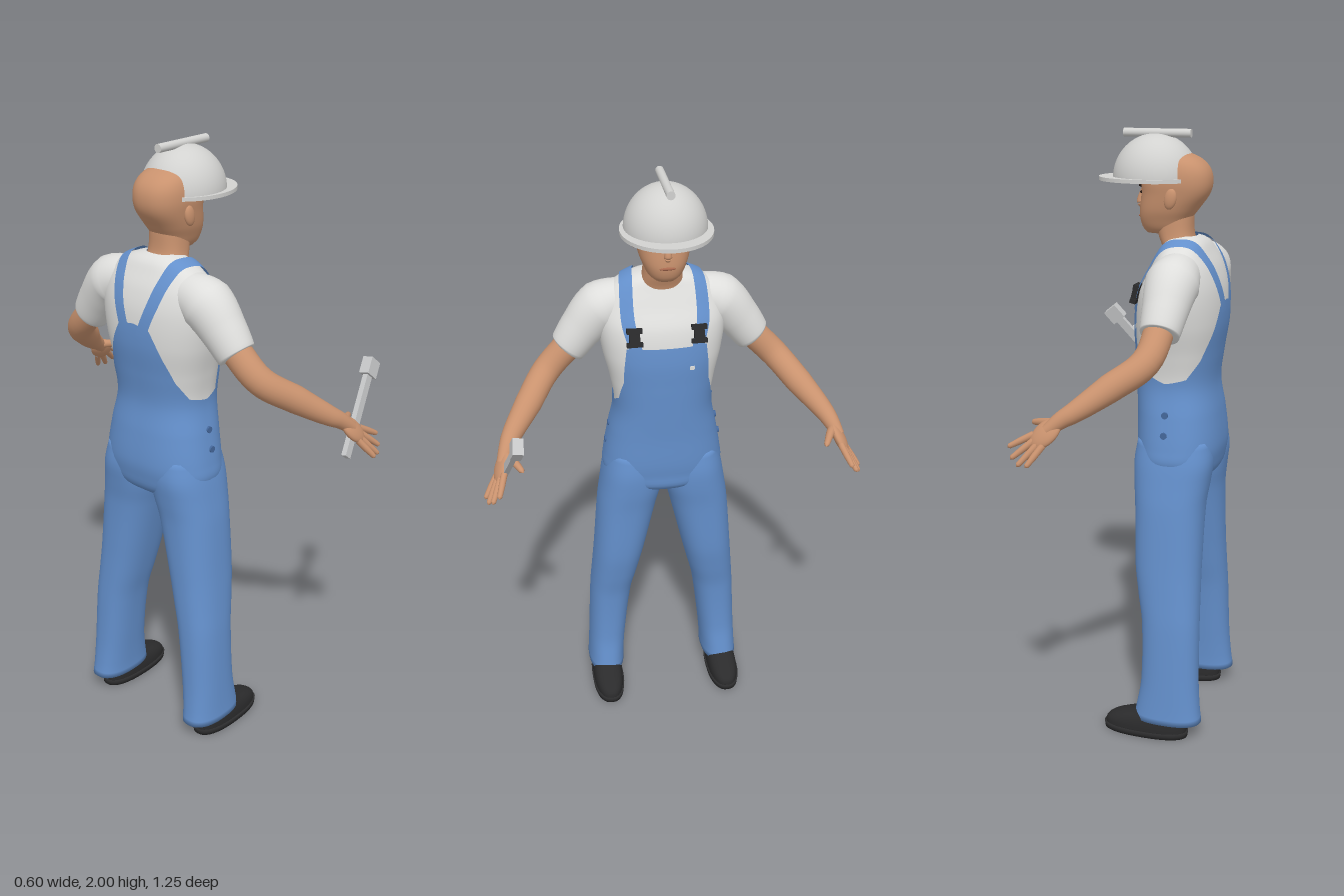
import * as THREE from 'three';
import { mergeVertices } from 'three/addons/utils/BufferGeometryUtils.js';

const V = (x, y, z) => new THREE.Vector3(x, y, z);
const mat = (name, color, side = THREE.FrontSide) => {
  const m = new THREE.MeshStandardMaterial({ color, side });
  m.name = name;
  return m;
};

// Closed surface from a rule: u runs around, v runs along
function grid(nu, nv, fn) {
  const pos = [], idx = [];
  for (let j = 0; j <= nv; j++)
    for (let i = 0; i <= nu; i++) pos.push(...fn((i % nu) / nu, j / nv).toArray());
  for (let j = 0; j < nv; j++)
    for (let i = 0; i < nu; i++) {
      const a = j * (nu + 1) + i, b = a + 1, c = a + nu + 1, d = c + 1;
      idx.push(a, c, b, b, c, d);
    }
  let g = new THREE.BufferGeometry();
  g.setAttribute('position', new THREE.Float32BufferAttribute(pos, 3));
  g.setIndex(idx);
  g = mergeVertices(g, 1e-6);
  g.computeVertexNormals();
  return g;
}

// Smooth interpolation of rows [y, back, front, zMin, zMax] by height
const profile = rows => y => {
  let i = 0;
  while (i < rows.length - 2 && y > rows[i + 1][0]) i++;
  const p = rows[Math.max(i - 1, 0)], a = rows[i], b = rows[i + 1], q = rows[Math.min(i + 2, rows.length - 1)];
  const h = b[0] - a[0], t = Math.min(1, Math.max(0, (y - a[0]) / h)), t2 = t * t, t3 = t2 * t;
  const s = [1, 2, 3, 4].map(k => {
    const m0 = (b[k] - p[k]) / (b[0] - p[0]) * h, m1 = (q[k] - a[k]) / (q[0] - a[0]) * h;
    return (2 * t3 - 3 * t2 + 1) * a[k] + (t3 - 2 * t2 + t) * m0 + (3 * t2 - 2 * t3) * b[k] + (t3 - t2) * m1;
  });
  return { y, cx: (s[0] + s[1]) / 2, rx: (s[1] - s[0]) / 2, cz: (s[2] + s[3]) / 2, rz: (s[3] - s[2]) / 2 };
};
const POW = 2.4;
const pw = (v, e) => Math.sign(v) * Math.abs(v) ** e;
const onRing = (s, a, off = 0) => V(
  s.cx + (s.rx + off) * pw(Math.cos(a), 2 / POW), s.y, s.cz + (s.rz + off) * pw(Math.sin(a), 2 / POW));
const frontX = (s, z) => s.cx + s.rx * Math.max(0, 1 - Math.abs((z - s.cz) / s.rz) ** POW) ** (1 / POW);

// Horizontal cross-sections stacked upward, capped at both ends
function loft(rows, nu = 40, nv = 40) {
  const at = profile(rows), y0 = rows[0][0], y1 = rows[rows.length - 1][0];
  return grid(nu, nv + 2, (u, v) => {
    const k = Math.round(v * (nv + 2)), s = at(y0 + (y1 - y0) * Math.min(1, Math.max(0, (k - 1) / nv)));
    return k === 0 || k === nv + 2 ? V(s.cx, s.y, s.cz) : onRing(s, u * Math.PI * 2);
  });
}

// Round limb through points [x, y, z, radius]
function limb(pts, nu = 20, per = 6) {
  const curve = new THREE.CatmullRomCurve3(pts.map(p => V(p[0], p[1], p[2])));
  const n = pts.length - 1, ref = V(0.3, 1, 0);
  return grid(nu, n * per, (u, v) => {
    const f = Math.min(v * n, n - 1e-6), i = Math.floor(f), r = THREE.MathUtils.lerp(pts[i][3], pts[i + 1][3], f - i);
    const T = curve.getTangent(v), N = ref.clone().cross(T).normalize(), B = T.clone().cross(N), a = -u * Math.PI * 2;
    return curve.getPoint(v).addScaledVector(N, r * Math.cos(a)).addScaledVector(B, r * Math.sin(a));
  });
}

const sym = (y, back, front, z) => [y, back, front, -z, z];
const torso = profile([
  sym(0.865, -0.22, -0.08, 0.07), sym(0.9, -0.265, -0.03, 0.17), sym(0.95, -0.28, -0.022, 0.2),
  sym(1.0, -0.285, -0.017, 0.197), sym(1.1, -0.275, -0.015, 0.18), sym(1.2, -0.26, -0.01, 0.162),
  sym(1.3, -0.27, -0.006, 0.175), sym(1.4, -0.283, -0.005, 0.198), sym(1.5, -0.28, -0.02, 0.21),
  sym(1.57, -0.262, -0.055, 0.2), sym(1.62, -0.237, -0.08, 0.165), sym(1.655, -0.215, -0.098, 0.105),
  sym(1.67, -0.19, -0.12, 0.05)]);

// Height of the overalls' upper edge by angle from the front
const EDGE = [[0, 1.45], [34, 1.45], [37, 1.41], [46, 1.32], [62, 1.25], [90, 1.215], [116, 1.23], [136, 1.29], [152, 1.37], [167, 1.46], [181, 1.47]];
function edgeHeight(a) {
  let d = THREE.MathUtils.radToDeg(a);
  if (d > 180) d = 360 - d;
  const i = EDGE.findIndex(e => e[0] > d), [p, q] = [EDGE[i - 1], EDGE[i]];
  return p[1] + (q[1] - p[1]) * (d - p[0]) / (q[0] - p[0]);
}

// Point just above the shirt, seen from inside the chest at angle t from vertical
function overShirt(t, z, off) {
  const dx = Math.sin(t), dy = Math.cos(t);
  let lo = 0, hi = 0.4;
  for (let i = 0; i < 30; i++) {
    const r = (lo + hi) / 2, y = 1.43 + dy * r, s = torso(y);
    const inside = y < 1.67 && Math.abs((-0.15 + dx * r - s.cx) / s.rx) ** POW + Math.abs(z / s.rz) ** POW < 1;
    if (inside) lo = r; else hi = r;
  }
  return V(-0.15 + dx * (lo + off), 1.43 + dy * (lo + off), z);
}

export function createModel() {
  const root = new THREE.Group();
  root.name = 'worker';
  const blue = mat('denimBlue', 0x6490cc, THREE.DoubleSide), white = mat('shirtWhite', 0xdededc);
  const skin = mat('skin', 0xc9926e), shell = mat('helmetGrey', 0xd2d2d0), black = mat('shoeBlack', 0x2b2b2c);
  const dark = mat('browBrown', 0x2c1e18), lip = mat('lip', 0xa9694f), steel = mat('toolGrey', 0xc6c7c8);
  const stud = mat('studBlue', 0x45689c);
  const add = (name, geo, m, parent = root) => {
    const mesh = new THREE.Mesh(geo, m);
    mesh.name = name;
    parent.add(mesh);
    return mesh;
  };
  const ball = (name, m, c, s) => {
    const b = add(name, new THREE.SphereGeometry(1, 24, 16), m);
    b.position.set(...c);
    b.scale.set(...s);
    return b;
  };

  // Shirt and overalls body
  add('shirt', grid(64, 50, (u, v) => onRing(torso(1.17 + 0.5 * v), u * Math.PI * 2)), white);
  add('overallsBody', grid(180, 50, (u, v) => {
    const a = u * Math.PI * 2, s = torso(0.865 + (edgeHeight(a) - 0.865) * Math.max(0, v - 0.02) / 0.98);
    return v === 0 ? V(s.cx, s.y, 0) : onRing(s, a, 0.006);
  }), blue);

  // Head and neck
  const headRows = [sym(1.675, -0.15, -0.025, 0.04), sym(1.69, -0.157, -0.012, 0.055), sym(1.72, -0.168, -0.003, 0.069),
    sym(1.75, -0.19, -0.003, 0.08), sym(1.8, -0.226, -0.008, 0.089), sym(1.84, -0.235, -0.008, 0.093),
    sym(1.88, -0.225, -0.02, 0.088), sym(1.91, -0.195, -0.04, 0.072), sym(1.93, -0.15, -0.07, 0.04)];
  const head = profile(headRows);
  add('head', loft(headRows), skin);
  add('neck', loft([sym(1.57, -0.2, -0.09, 0.07), sym(1.63, -0.195, -0.08, 0.072), sym(1.67, -0.178, -0.065, 0.064), sym(1.74, -0.175, -0.05, 0.06)], 32, 16), skin);
  add('nose', limb([[-0.012, 1.825, 0, 0.004], [-0.002, 1.79, 0, 0.01], [0.001, 1.768, 0, 0.013], [-0.008, 1.753, 0, 0.007]], 14), skin);
  ball('mouth', lip, [frontX(head(1.728), 0), 1.728, 0], [0.004, 0.005, 0.026]);
  for (const s of [-1, 1]) {
    ball('ear', skin, [-0.125, 1.79, s * 0.09], [0.02, 0.033, 0.012]).rotation.z = 0.2;
    ball('eye', dark, [frontX(head(1.805), 0.036) - 0.001, 1.805, s * 0.036], [0.004, 0.005, 0.012]);
    ball('eyebrow', dark, [frontX(head(1.824), 0.038), 1.824, s * 0.038], [0.005, 0.004, 0.02]).rotation.x = -s * 0.2;
  }

  // Hard hat: dome, brim and top ridge
  const dome = add('helmetDome', new THREE.SphereGeometry(1, 48, 20, 0, Math.PI * 2, 0, Math.PI / 2), shell);
  dome.position.set(-0.05, 1.845, 0);
  dome.scale.set(0.138, 0.14, 0.131);
  const brim = add('helmetBrim', new THREE.CylinderGeometry(1, 1, 0.012, 56), shell);
  brim.position.set(-0.03, 1.845, 0);
  brim.scale.set(0.165, 1, 0.145);
  const ridge = add('helmetRidge', new THREE.CylinderGeometry(0.0135, 0.0135, 0.222, 20), shell);
  ridge.rotation.z = Math.PI / 2;
  ridge.position.set(-0.055, 1.986, 0);

  for (const s of [-1, 1]) {
    const side = pts => pts.map(([x, y, z, r]) => [x, y, z * s, r]);
    const flip = rows => rows.map(([y, b, f, z0, z1]) => s > 0 ? [y, b, f, z0, z1] : [y, b, f, -z1, -z0]);

    // Trouser leg and shoe
    add('trouserLeg', loft(flip([[0.06, -0.284, -0.052, 0.153, 0.284], [0.1, -0.278, -0.06, 0.152, 0.281],
      [0.2, -0.27, -0.075, 0.143, 0.276], [0.4, -0.265, -0.072, 0.118, 0.266], [0.5, -0.262, -0.055, 0.094, 0.257],
      [0.6, -0.26, -0.04, 0.07, 0.248], [0.8, -0.262, -0.03, 0.024, 0.231], [0.88, -0.272, -0.022, 0.003, 0.219],
      [0.95, -0.28, -0.02, 0, 0.207], [1.02, -0.27, -0.03, 0, 0.19]]), 48, 50), blue);
    add('shoeSole', loft(flip([[0, -0.238, 0.053, 0.164, 0.278], [0.02, -0.24, 0.056, 0.162, 0.28]]), 40, 2), black);
    add('shoeUpper', loft(flip([[0.015, -0.235, 0.05, 0.167, 0.275], [0.04, -0.236, 0.045, 0.167, 0.275],
      [0.06, -0.234, 0.015, 0.17, 0.272], [0.08, -0.23, -0.045, 0.175, 0.267], [0.12, -0.22, -0.1, 0.18, 0.262]]), 40, 14), black);

    // Sleeve, arm and hand
    add('sleeve', limb(side([[-0.165, 1.565, 0.11, 0.07], [-0.165, 1.54, 0.195, 0.086], [-0.163, 1.475, 0.258, 0.073],
      [-0.16, 1.405, 0.31, 0.061], [-0.16, 1.402, 0.313, 0]]), 32), white);
    add('arm', limb(side([[-0.16, 1.44, 0.28, 0.048], [-0.14, 1.335, 0.385, 0.046], [-0.05, 1.265, 0.455, 0.044],
      [0.04, 1.2, 0.52, 0.032], [0.075, 1.178, 0.537, 0.027], [0.115, 1.145, 0.555, 0.02]]), 24), skin);
    const dir = V(0.125, -0.125, 0.055 * s).normalize();
    const spread = V(0.075, 0.045, -0.045 * s);
    spread.addScaledVector(dir, -spread.dot(dir)).normalize();
    const centre = V(0.118, 1.138, 0.557 * s);
    const palm = ball('palm', skin, centre.toArray(), [0.058, 0.038, 0.018]);
    palm.quaternion.setFromRotationMatrix(new THREE.Matrix4().makeBasis(dir, spread, dir.clone().cross(spread)));
    [[0.235, 1.09, 0.575], [0.218, 1.06, 0.597], [0.192, 1.043, 0.612], [0.16, 1.045, 0.62]].forEach(([x, y, z], i) => {
      const a = centre.clone().addScaledVector(dir, 0.028).addScaledVector(spread, 0.026 - 0.017 * i), b = V(x, y, z * s);
      const p = t => a.clone().lerp(b, t).toArray();
      add('finger', limb([[...p(0), 0.011], [...p(0.5), 0.0105], [...p(0.92), 0.008], [...p(1), 0]], 12, 4), skin);
    });
    add('thumb', limb(side([[0.085, 1.165, 0.545, 0.016], [0.125, 1.163, 0.523, 0.014], [0.178, 1.153, 0.497, 0.009], [0.188, 1.15, 0.492, 0]]), 14), skin);

    // Shoulder strap, thin ribbon from the bib over to the back
    const strip = new THREE.PlaneGeometry(1, 1, 4, 60), pos = strip.attributes.position;
    const track = new THREE.SplineCurve([[0, 0.035], [0.25, 0.075], [0.5, 0.115], [0.75, 0.122], [1, 0.1]].map(p => new THREE.Vector2(...p)));
    for (let i = 0; i < pos.count; i++) {
      const v = pos.getY(i) + 0.5, q = overShirt((v - 0.5) * Math.PI * 0.98, track.getPoint(v).y + pos.getX(i) * 0.042, 0.008);
      pos.setXYZ(i, q.x, q.y, q.z * s);
    }
    strip.computeVertexNormals();
    add('strap', strip, blue);

    // Buckle and side studs
    for (const [y, w, h] of [[1.512, 0.05, 0.016], [1.488, 0.034, 0.03], [1.468, 0.052, 0.014]]) {
      const b = add('buckle', new THREE.BoxGeometry(0.02, h, w), black);
      b.position.set(frontX(torso(y), 0.105) + 0.01, y, s * 0.105);
      b.rotation.z = 0.25;
    }
    for (const y of [1.115, 1.05]) {
      const b = add('sideStud', new THREE.CylinderGeometry(0.011, 0.011, 0.008, 16), stud);
      b.rotation.x = Math.PI / 2;
      b.position.set(-0.14, y, s * (torso(y).rz + 0.007));
    }
  }

  // Small bib tag
  const tag = add('bibTag', new THREE.BoxGeometry(0.006, 0.012, 0.016), white);
  tag.position.set(frontX(torso(1.375), 0.08) + 0.007, 1.375, -0.08);

  // Hand tool
  const tool = new THREE.Group();
  tool.name = 'hammer';
  const a = V(0.075, 1.06, 0.565), d = V(0.285, 1.31, 0.505).sub(a);
  tool.position.copy(a);
  tool.quaternion.setFromUnitVectors(V(0, 1, 0), d.clone().normalize());
  root.add(tool);
  add('hammerHandle', new THREE.BoxGeometry(0.03, 0.28, 0.017), steel, tool).position.y = 0.14;
  add('hammerHead', new THREE.BoxGeometry(0.054, 0.056, 0.034), steel, tool).position.y = 0.305;
  return root;
}
